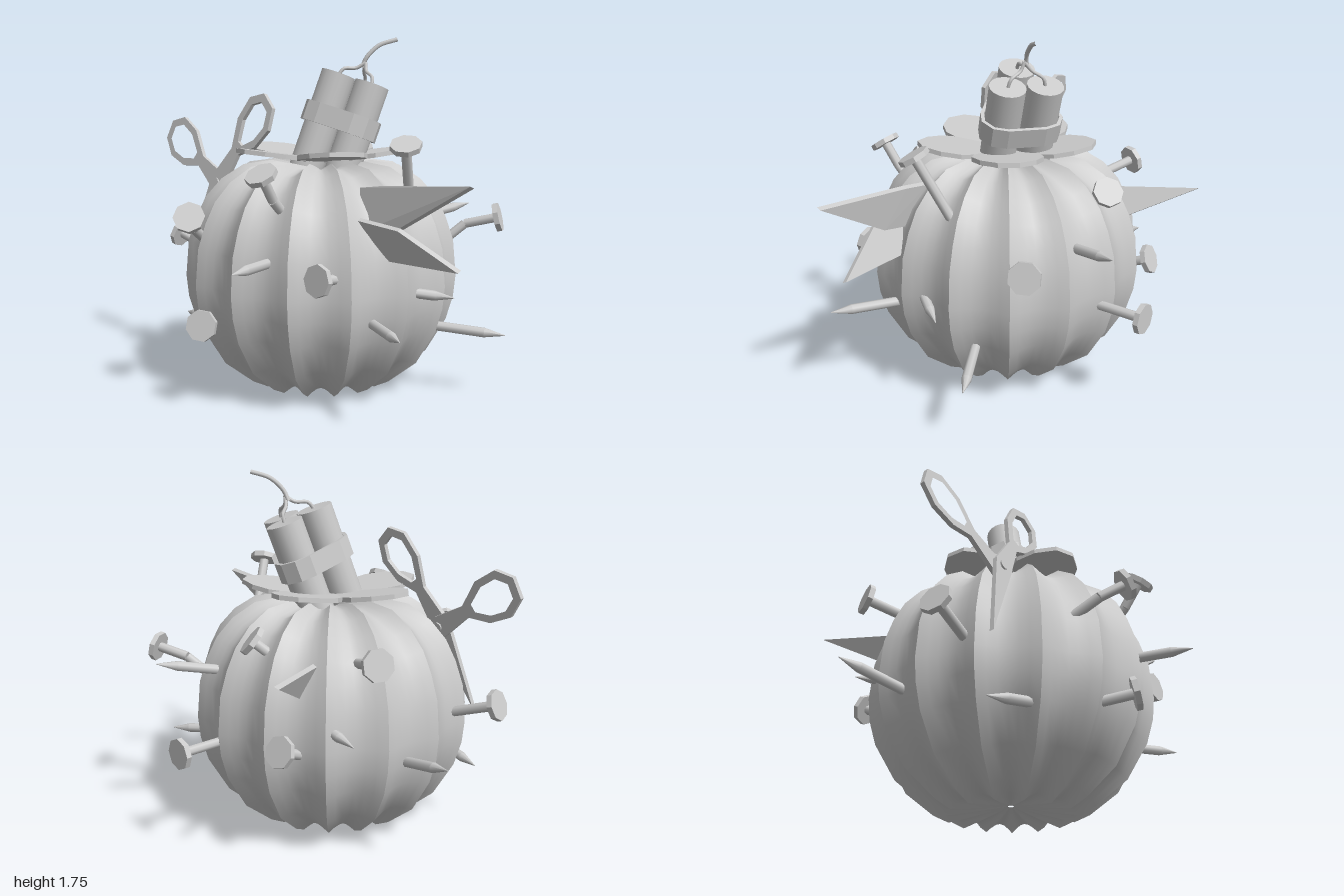
import * as THREE from 'three';
import { toCreasedNormals } from 'three/addons/utils/BufferGeometryUtils.js';
import { ConvexGeometry } from 'three/addons/geometries/ConvexGeometry.js';

const smooth = new THREE.MeshStandardMaterial({ color: 0xcccccc });
const flat = new THREE.MeshStandardMaterial({ color: 0xcccccc, flatShading: true });
const UP = new THREE.Vector3(0, 1, 0);
const v3 = (p) => new THREE.Vector3(...p);
const v2 = (list) => list.map(([x, y]) => new THREE.Vector2(x, y));

function add(parent, name, geometry, material = smooth) {
  const mesh = new THREE.Mesh(geometry, material);
  mesh.name = name;
  parent.add(mesh);
  return mesh;
}

// Cylinder running from a to b
function rod(parent, name, a, b, rA, rB, sides = 8, material = smooth) {
  const dir = b.clone().sub(a);
  const mesh = add(parent, name, new THREE.CylinderGeometry(rB, rA, dir.length(), sides), material);
  mesh.position.copy(a).add(b).multiplyScalar(0.5);
  mesh.quaternion.setFromUnitVectors(UP, dir.normalize());
  return mesh;
}

// Ribbed body: a lathe whose panels sink between 15 sharp ridges
function pumpkin() {
  const RIBS = 15, step = (Math.PI * 2) / RIBS, first = Math.PI / 15;
  const profile = v2([[0.015, 0.05], [0.18, 0.02], [0.31, 0.0], [0.39, 0.04], [0.54, 0.16], [0.64, 0.33],
    [0.675, 0.45], [0.686, 0.56], [0.67, 0.74], [0.63, 0.86], [0.58, 0.96], [0.5, 1.05], [0.39, 1.12],
    [0.25, 1.14], [0.1, 1.11], [0.015, 1.09]]);
  const geo = new THREE.LatheGeometry(profile, RIBS * 6, Math.PI / 2 - first);
  const pos = geo.attributes.position;
  for (let i = 0; i < pos.count; i++) {
    const x = pos.getX(i), y = pos.getY(i), z = pos.getZ(i);
    const t = (Math.atan2(z, x) - first) / step;
    const dip = 0.07 * Math.abs(Math.sin(Math.PI * t));
    const yDip = dip * Math.min(1, Math.hypot(x, z) / 0.3);
    pos.setXYZ(i, x * (1 - dip), 0.56 + (y - 0.56) * (1 - yDip), z * (1 - dip));
  }
  return toCreasedNormals(geo, 0.65);
}

// Five broad leaves spread over the top
function addLeaves(parent) {
  const half = [[0, 0.03], [0.1, 0.09], [0.19, 0.155], [0.29, 0.17], [0.38, 0.13], [0.45, 0.05]];
  const outline = half.concat(half.map(([x, y]) => [x, -y]).reverse());
  const geo = new THREE.ExtrudeGeometry(new THREE.Shape(v2(outline)), { depth: 0.022, bevelEnabled: false });
  geo.rotateX(-Math.PI / 2).rotateZ(0.14);
  for (let i = 0; i < 5; i++) {
    const leaf = add(parent, 'leaf', geo, flat);
    leaf.position.set(-0.06, 1.125, 0);
    leaf.rotation.y = Math.PI + (i * Math.PI * 2) / 5;
  }
}

// Three tilted sticks held by a band, with joined fuses
function addSticks(parent) {
  const bundle = new THREE.Group();
  bundle.name = 'stickBundle';
  bundle.position.set(0.043, 1.53, -0.167);
  bundle.quaternion.setFromUnitVectors(UP, v3([0.2, 1, -0.3]).normalize());
  parent.add(bundle);

  const angles = [8, 128, 248].map(THREE.MathUtils.degToRad);
  const bandOutline = (r) => angles.flatMap((a) => [-1, -0.33, 0.33, 1].map((k) => {
    const b = a + (k * Math.PI) / 3;
    return [0.107 * Math.cos(a) + r * Math.cos(b), 0.107 * Math.sin(a) + r * Math.sin(b)];
  }));
  const bandShape = new THREE.Shape(v2(bandOutline(0.112)));
  bandShape.holes.push(new THREE.Path(v2(bandOutline(0.094))));
  const bandGeo = new THREE.ExtrudeGeometry(bandShape, { depth: 0.1, bevelEnabled: false });
  add(bundle, 'band', bandGeo.rotateX(Math.PI / 2).translate(0, -0.17, 0), flat);

  const joint = v3([0.01, 0.1, 0.005]);
  for (const a of angles) {
    const x = 0.107 * Math.cos(a), z = 0.107 * Math.sin(a);
    add(bundle, 'stick', new THREE.CylinderGeometry(0.088, 0.088, 0.5, 18)).position.set(x, -0.25, z);
    const path = new THREE.CatmullRomCurve3([v3([x, -0.01, z]), v3([x * 0.85, 0.035, z * 0.85]),
      v3([x * 0.3, 0.06, z * 0.3]), joint]);
    add(bundle, 'fuseBranch', new THREE.TubeGeometry(path, 10, 0.009, 6));
  }
  const main = new THREE.CatmullRomCurve3([[0.05, 1.6, -0.19], [0.07, 1.65, -0.2], [0.11, 1.71, -0.25], [0.17, 1.74, -0.32]].map(v3));
  add(parent, 'fuse', new THREE.TubeGeometry(main, 12, 0.011, 6));
}

// Open scissors: two mirrored halves crossing at a pivot
function addScissors(parent) {
  const scissors = new THREE.Group();
  scissors.name = 'scissors';
  scissors.position.set(-0.52, 1.01, 0.28);
  scissors.rotation.x = -0.18;
  parent.add(scissors);
  const ring = [[0.03, 0.2], [0.1, 0.3], [0.12, 0.42], [0.07, 0.52], [-0.03, 0.54], [-0.1, 0.47], [-0.1, 0.34], [-0.03, 0.2]];
  const blade = [[-0.05, 0], [0.1, -0.43], [0.06, 0]];
  for (const [side, turn] of [[1, -34], [-1, 58]]) {
    const flip = ([x, y]) => [x * side, y];
    const shape = new THREE.Shape(v2([...ring, ...blade].map(flip)));
    const hole = ring.map(([x, y]) => [0.01 + (x - 0.01) * 0.68, 0.39 + (y - 0.39) * 0.72]);
    shape.holes.push(new THREE.Path(v2(hole.map(flip))));
    const geo = new THREE.ExtrudeGeometry(shape, { depth: 0.022, bevelEnabled: false });
    const half = add(scissors, 'scissorHalf', geo, flat);
    half.position.z = side > 0 ? 0 : -0.022;
    half.rotation.z = THREE.MathUtils.degToRad(turn);
  }
  rod(scissors, 'scissorPivot', v3([0, 0, -0.03]), v3([0, 0, 0.03]), 0.024, 0.024);
}

// Nails listed as head, buried end and optional bend
const NAILS = [
  [[-0.89, 0.7, 0.24], [-0.6, 0.6, 0.2]],
  [[-0.7, 0.98, -0.38], [-0.46, 0.92, -0.27]],
  [[0.545, 1.24, 0.09], [0.46, 0.93, -0.06]],
  [[0.155, 1.12, 0.62], [0.14, 0.9, 0.44], [0.145, 1.0, 0.54]],
  [[-0.2, 0.91, 0.74], [-0.33, 0.75, 0.52], [-0.28, 0.84, 0.65]],
  [[0.41, 0.67, 0.53], [0.41, 0.65, 0.35]],
  [[-0.14, 0.41, 0.73], [-0.26, 0.36, 0.52]],
  [[0.07, 0.5, -0.86], [0.06, 0.5, -0.58]],
  [[-0.1, 1.01, -0.56], [-0.22, 0.86, -0.42]],
  [[0.63, 0.85, -0.57], [0.38, 0.7, -0.41], [0.48, 0.81, -0.5]],
  [[-0.39, 0.58, -0.66], [-0.37, 0.5, -0.46]],
];

function addNail(parent, [head, end, bend]) {
  const nail = new THREE.Group();
  nail.name = 'nail';
  parent.add(nail);
  const top = v3(head), bottom = v3(end), mid = bend ? v3(bend) : bottom;
  rod(nail, 'nailShaft', mid, top, 0.024, 0.024);
  if (bend) rod(nail, 'nailLowerShaft', bottom, mid, 0.024, 0.024);
  const dir = top.clone().sub(mid).normalize();
  rod(nail, 'nailHead', top.clone().addScaledVector(dir, -0.013), top.clone().addScaledVector(dir, 0.013), 0.075, 0.075, 8, flat);
}

// Nail points coming out of the body, listed as tip and buried end
const SPIKES = [
  [[-0.97, 0.54, -0.23], [-0.64, 0.46, -0.13]],
  [[-0.7, 0.31, 0.36], [-0.46, 0.335, 0.43]],
  [[0.3, 0.87, -0.81], [0.16, 0.81, -0.52]],
  [[0.81, 0.31, -0.37], [0.5, 0.337, -0.21]],
  [[0.68, 0.52, -0.12], [0.55, 0.56, 0.06]],
  [[0.79, 0.45, 0.44], [0.49, 0.44, 0.26]],
  [[0.21, 0.72, 0.85], [0.13, 0.72, 0.5]],
  [[-0.65, 0.62, -0.47], [-0.45, 0.66, -0.45]],
];

function addSpike(parent, [tip, end]) {
  const a = v3(end), b = v3(tip);
  const neck = b.clone().addScaledVector(b.clone().sub(a).normalize(), -0.1);
  rod(parent, 'spikeShaft', a, neck, 0.024, 0.024);
  rod(parent, 'spikeTip', neck, b, 0.024, 0.002);
}

// Flat splinters, each a polygon thickened along its normal
const SHARDS = [
  [[0.36, 1.04, 0.18], [0.5, 1.06, 0.19], [1.0, 1.1, 0.24], [0.62, 0.88, 0.23], [0.4, 0.84, 0.22]],
  [[0.38, 0.92, 0.28], [0.65, 0.89, 0.27], [0.92, 0.73, 0.2], [0.48, 0.73, 0.19]],
  [[-0.56, 0.95, -0.83], [-0.38, 0.93, -0.42], [-0.34, 0.78, -0.5]],
];

function addShard(parent, list) {
  const p = list.map(v3);
  const normal = p[1].clone().sub(p[0]).cross(p[2].clone().sub(p[0])).normalize();
  const points = [0.012, -0.012].flatMap((d) => p.map((q) => q.clone().addScaledVector(normal, d)));
  add(parent, 'shard', new ConvexGeometry(points), flat);
}

export function createModel() {
  const model = new THREE.Group();
  model.name = 'spikedPumpkin';
  add(model, 'pumpkinBody', pumpkin()).position.x = -0.06;
  addLeaves(model);
  addSticks(model);
  addScissors(model);
  NAILS.forEach((n) => addNail(model, n));
  SPIKES.forEach((s) => addSpike(model, s));
  SHARDS.forEach((s) => addShard(model, s));
  return model;
}
